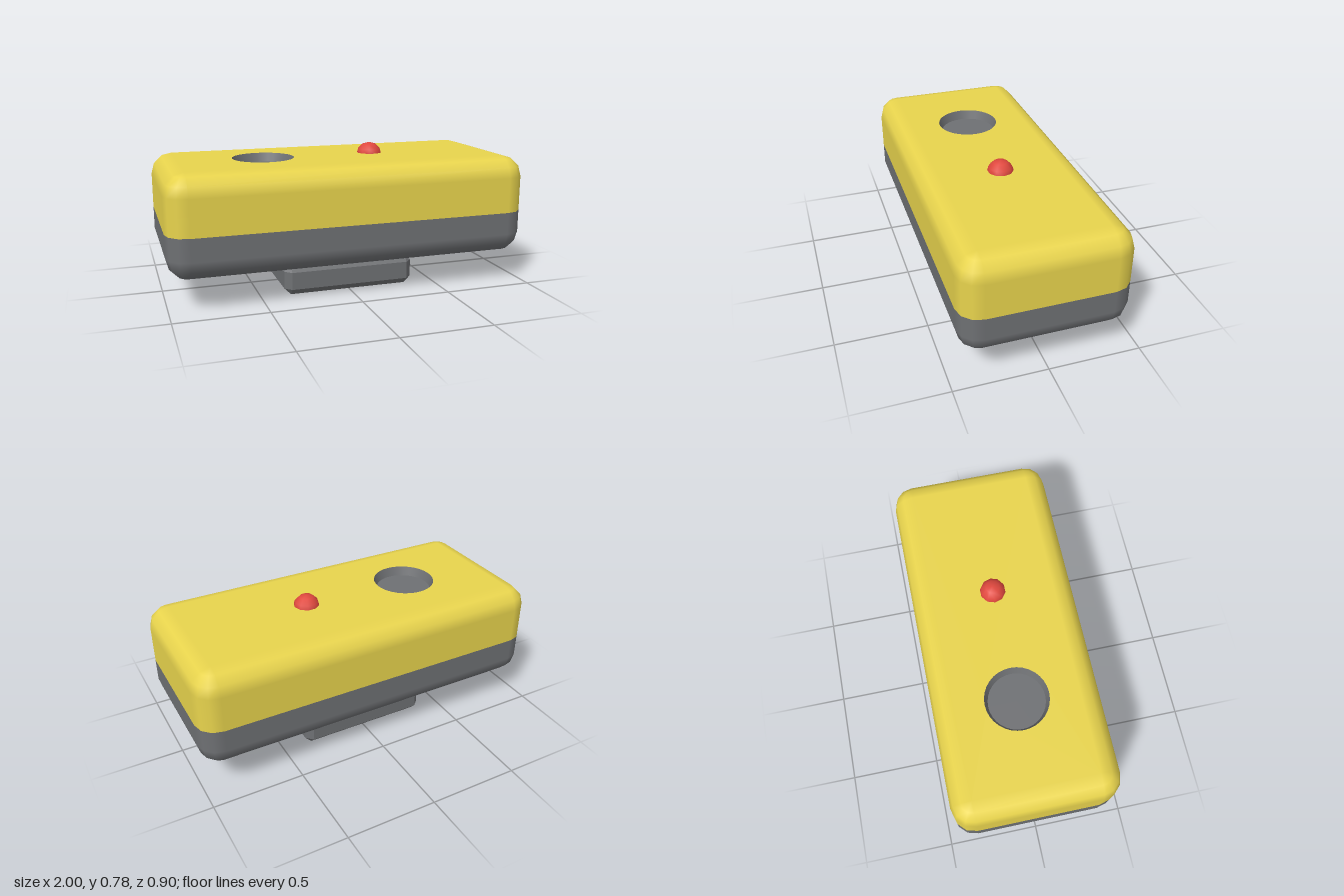
import * as THREE from 'three';

const YELLOW = 0xe8d44d, GREY = 0x6e7073, RED = 0xe0483e;

const paint = (color, extra = {}) => new THREE.MeshStandardMaterial({ color, ...extra });

function addMesh(parent, name, geometry, material) {
  const mesh = new THREE.Mesh(geometry, material);
  mesh.name = name;
  parent.add(mesh);
  return mesh;
}

// Rounded-box wall: rings of [y, corner angle phi], bottom to top
function wall(hx, hz, r, segs, rings) {
  const pos = [], nor = [], idx = [];
  const n = 4 * (segs + 1);
  for (const [y, phi] of rings) {
    const c = Math.cos(phi);
    for (let q = 0; q < 4; q++) {
      const sx = q === 0 || q === 3 ? 1 : -1, sz = q < 2 ? 1 : -1;
      for (let s = 0; s <= segs; s++) {
        const t = (q + s / segs) * Math.PI / 2;
        const nx = c * Math.cos(t), nz = c * Math.sin(t);
        pos.push(sx * (hx - r) + r * nx, y, sz * (hz - r) + r * nz);
        nor.push(nx, Math.sin(phi), nz);
      }
    }
  }
  for (let j = 0; j < rings.length - 1; j++) {
    for (let i = 0; i < n; i++) {
      const a = j * n + i, b = j * n + (i + 1) % n;
      idx.push(a, a + n, b, b, a + n, b + n);
    }
  }
  const g = new THREE.BufferGeometry();
  g.setAttribute('position', new THREE.Float32BufferAttribute(pos, 3));
  g.setAttribute('normal', new THREE.Float32BufferAttribute(nor, 3));
  g.setIndex(idx);
  return g;
}

// Rings of the rounded lower edge (dir -1) or upper edge (dir 1)
function edgeRings(y, r, segs, dir) {
  const rings = [];
  for (let s = 0; s <= segs; s++) {
    const phi = dir * (s / segs) * Math.PI / 2;
    rings.push([y - dir * r + r * Math.sin(phi), phi]);
  }
  return dir < 0 ? rings.reverse() : rings;
}

// Flat rectangle facing up (dir 1) or down (dir -1), with an optional round hole
function cap(hx, hz, y, dir, hole) {
  const shape = new THREE.Shape();
  shape.moveTo(-hx, -hz).lineTo(hx, -hz).lineTo(hx, hz).lineTo(-hx, hz).closePath();
  if (hole) shape.holes.push(new THREE.Path().absarc(hole.x, 0, hole.r, 0, Math.PI * 2, true));
  return new THREE.ShapeGeometry(shape, 16).rotateX(-dir * Math.PI / 2).translate(0, y, 0);
}

export function createModel() {
  const model = new THREE.Group();
  const hx = 1, hz = 0.448, r = 0.115, segs = 3;
  const bottom = 0.168, split = 0.408, top = 0.72;
  const hole = { x: -0.415, r: 0.172 };

  // Upper half of the casing, with the round opening
  const upper = new THREE.Group();
  upper.name = 'upperCasing';
  const yellow = paint(YELLOW);
  addMesh(upper, 'upperWall', wall(hx, hz, r, segs, [[split, 0], ...edgeRings(top, r, segs, 1)]), yellow);
  addMesh(upper, 'topPanel', cap(hx - r, hz - r, top, 1, hole), yellow);

  // Lower half of the casing
  const lower = new THREE.Group();
  lower.name = 'lowerCasing';
  const grey = paint(GREY);
  addMesh(lower, 'lowerWall', wall(hx, hz, r, segs, [...edgeRings(bottom, r, segs, -1), [split, 0]]), grey);
  addMesh(lower, 'bottomPanel', cap(hx - r, hz - r, bottom, -1), grey);

  // Shallow tapered cup in the opening
  const cup = new THREE.Group();
  cup.name = 'cup';
  const depth = 0.05, floorR = 0.154;
  addMesh(cup, 'cupWall', new THREE.CylinderGeometry(hole.r, floorR, depth, 32, 1, true),
    paint(GREY, { side: THREE.BackSide }));
  addMesh(cup, 'cupFloor', new THREE.CircleGeometry(floorR, 32).rotateX(-Math.PI / 2), grey)
    .position.y = -depth / 2;
  cup.position.set(hole.x, top - depth / 2, 0);

  // Push button, a coarse ball half sunk in the top
  const button = addMesh(model, 'button', new THREE.SphereGeometry(0.075, 10, 6), paint(RED));
  button.position.set(0.213, 0.705, 0);

  // Chamfered foot block
  const foot = new THREE.Group();
  foot.name = 'foot';
  const fx = 0.37, fz = 0.303, fr = 0.036;
  const flat = paint(GREY, { flatShading: true });
  addMesh(foot, 'footWall',
    wall(fx, fz, fr, 1, [...edgeRings(0, fr, 1, -1), ...edgeRings(bottom, fr, 1, 1)]), flat);
  addMesh(foot, 'footBase', cap(fx - fr, fz - fr, 0, -1), flat);

  model.add(upper, lower, cup, foot);
  return model;
}
